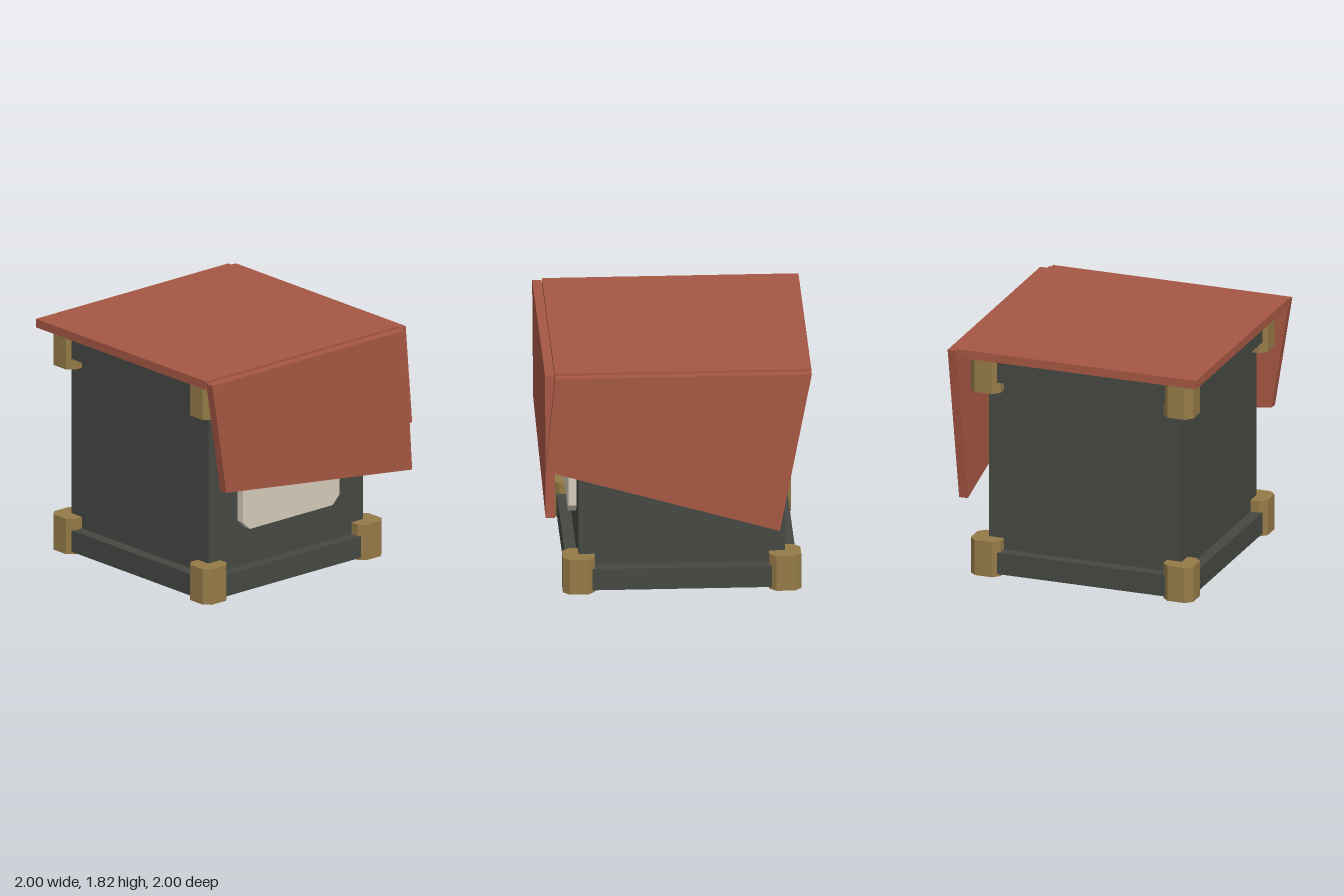
import * as THREE from 'three';

const paint = (color) => new THREE.MeshStandardMaterial({ color, flatShading: true });

// Flat slab: polygon in XY, extruded along +z
function slab(points, depth) {
  const shape = new THREE.Shape(points.map(([x, y]) => new THREE.Vector2(x, y)));
  return new THREE.ExtrudeGeometry(shape, { depth, bevelEnabled: false });
}

// Rectangle outline with its corners cut off
function cutRect(w, h, c) {
  const x = w / 2, y = h / 2;
  return [[-x + c, -y], [x - c, -y], [x, -y + c], [x, y - c],
    [x - c, y], [-x + c, y], [-x, y - c], [-x, -y + c]];
}

export function createModel() {
  const model = new THREE.Group();
  const dark = paint(0x454843);
  const red = paint(0xa65743);
  const brass = paint(0x957a47);
  const cream = paint(0xd5ccb9);

  const add = (name, geometry, material, x = 0, y = 0, z = 0) => {
    const mesh = new THREE.Mesh(geometry, material);
    mesh.name = name;
    mesh.position.set(x, y, z);
    model.add(mesh);
    return mesh;
  };

  // Crate, slightly off centre because the cloth hangs on two sides only
  const c = -0.035, half = 0.775;
  add('crateBody', new THREE.BoxGeometry(2 * half, 1.7, 2 * half), dark, c, 0.87, c);

  // Protruding bands around the bottom and top
  for (const [name, y] of [['bottomBand', 0.105], ['topBand', 1.635]]) {
    add(name, new THREE.BoxGeometry(1.73, 0.17, 1.73), dark, c, y, c);
  }

  // Eight chamfered corner caps
  const capGeometry = slab(cutRect(0.24, 0.24, 0.05), 0.28).rotateX(-Math.PI / 2);
  for (const y of [0, 1.465]) {
    for (const sx of [-1, 1]) {
      for (const sz of [-1, 1]) {
        add('cornerCap', capGeometry, brass, c + sx * half, y, c + sz * half);
      }
    }
  }

  // Label plate on the front
  add('frontPlate', slab(cutRect(0.965, 0.765, 0.067), 0.06), cream, c, 0.87, c + half);

  // Cover: flat top and two hanging flaps
  add('coverTop', new THREE.BoxGeometry(1.927, 0.067, 1.927), red, -0.0365, 1.782, -0.0365);
  add('frontFlap', slab([[-1, 1.8], [-0.86, 0.92], [1, 0.68], [0.927, 1.8]], 0.07), red, 0, 0, 0.93);
  const sideFlap = slab([[-0.927, 1.8], [-1, 1.055], [0.76, 0.54], [1, 1.8]], 0.07);
  add('leftFlap', sideFlap.rotateY(Math.PI / 2), red, 0.93, 0, 0);

  return model;
}
